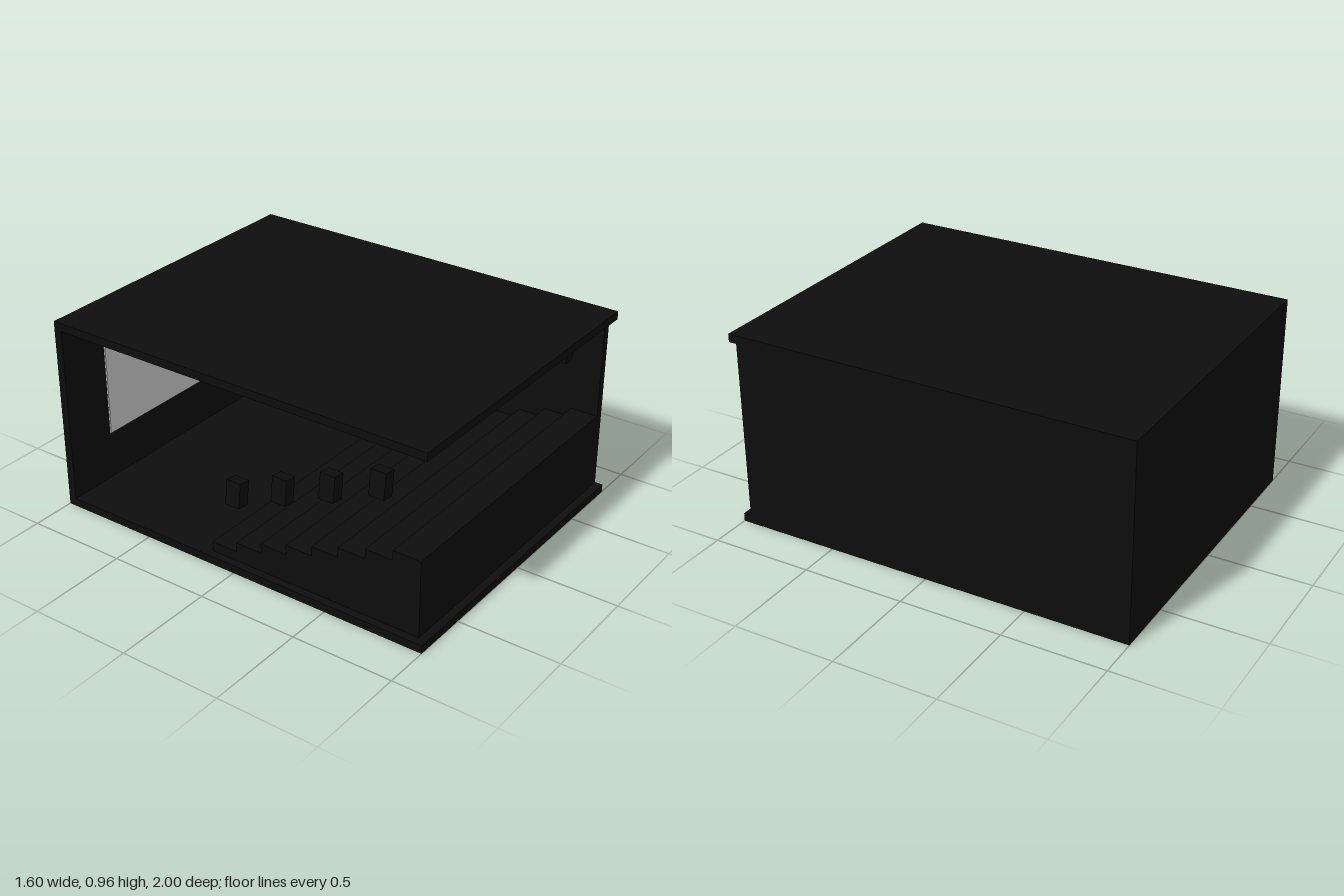
import * as THREE from 'three';

export function createModel() {
  const model = new THREE.Group();
  model.name = 'screeningRoom';

  const black = new THREE.MeshStandardMaterial({ color: 0x0d0d0d });
  black.name = 'matte black';
  const grey = new THREE.MeshStandardMaterial({ color: 0xc8c8c8 });
  grey.name = 'screen grey';

  // Box given by its extents on each axis
  function slab(name, [x0, x1], [y0, y1], [z0, z1], material = black) {
    const mesh = new THREE.Mesh(new THREE.BoxGeometry(x1 - x0, y1 - y0, z1 - z0), material);
    mesh.position.set((x0 + x1) / 2, (y0 + y1) / 2, (z0 + z1) / 2);
    mesh.name = name;
    model.add(mesh);
    return mesh;
  }

  // Shell: one side and the front are left open
  slab('floor', [-0.78, 0.8], [0, 0.04], [-1, 1]);
  slab('roof', [-0.78, 0.8], [0.92, 0.96], [-1, 1]);
  slab('backWall', [-0.78, 0.8], [0.04, 0.92], [-1, -0.96]);
  slab('leftWall', [0.76, 0.8], [0.04, 0.92], [-0.96, 0.96]);

  // Screen plate on the back wall
  slab('screen', [-0.52, 0.52], [0.28, 0.84], [-0.96, -0.952], grey);

  // Stepped seating platform, highest at the front; profile x is -z
  const steps = 8, depth = 1.11 / steps, rise = 0.38 / steps;
  const profile = new THREE.Shape();
  profile.moveTo(-0.96, 0.04);
  profile.lineTo(-0.96 + steps * depth, 0.04);
  for (let i = steps; i > 0; i--) {
    const top = 0.42 - (i - 1) * rise;
    profile.lineTo(-0.96 + i * depth, top);
    profile.lineTo(-0.96 + (i - 1) * depth, top);
  }
  const stairs = new THREE.ExtrudeGeometry(profile, { depth: 1.5, bevelEnabled: false });
  stairs.rotateY(Math.PI / 2);
  const platform = new THREE.Mesh(stairs, black);
  platform.position.x = -0.74;
  platform.name = 'steppedPlatform';
  model.add(platform);

  // Rows of tilted speakers following the slope on both sides
  for (const side of [-1, 1]) {
    for (let i = 0; i < 4; i++) {
      const speaker = new THREE.Mesh(new THREE.BoxGeometry(0.06, 0.12, 0.075), black);
      const x = side < 0 ? -0.755 - i * 0.004 : 0.73 + i * 0.003;
      speaker.position.set(x, 0.735 - i * 0.103, 0.77 - i * 0.248);
      speaker.rotation.z = side * 0.12;
      speaker.name = side < 0 ? 'rightSpeaker' : 'leftSpeaker';
      model.add(speaker);
    }
  }
  return model;
}
